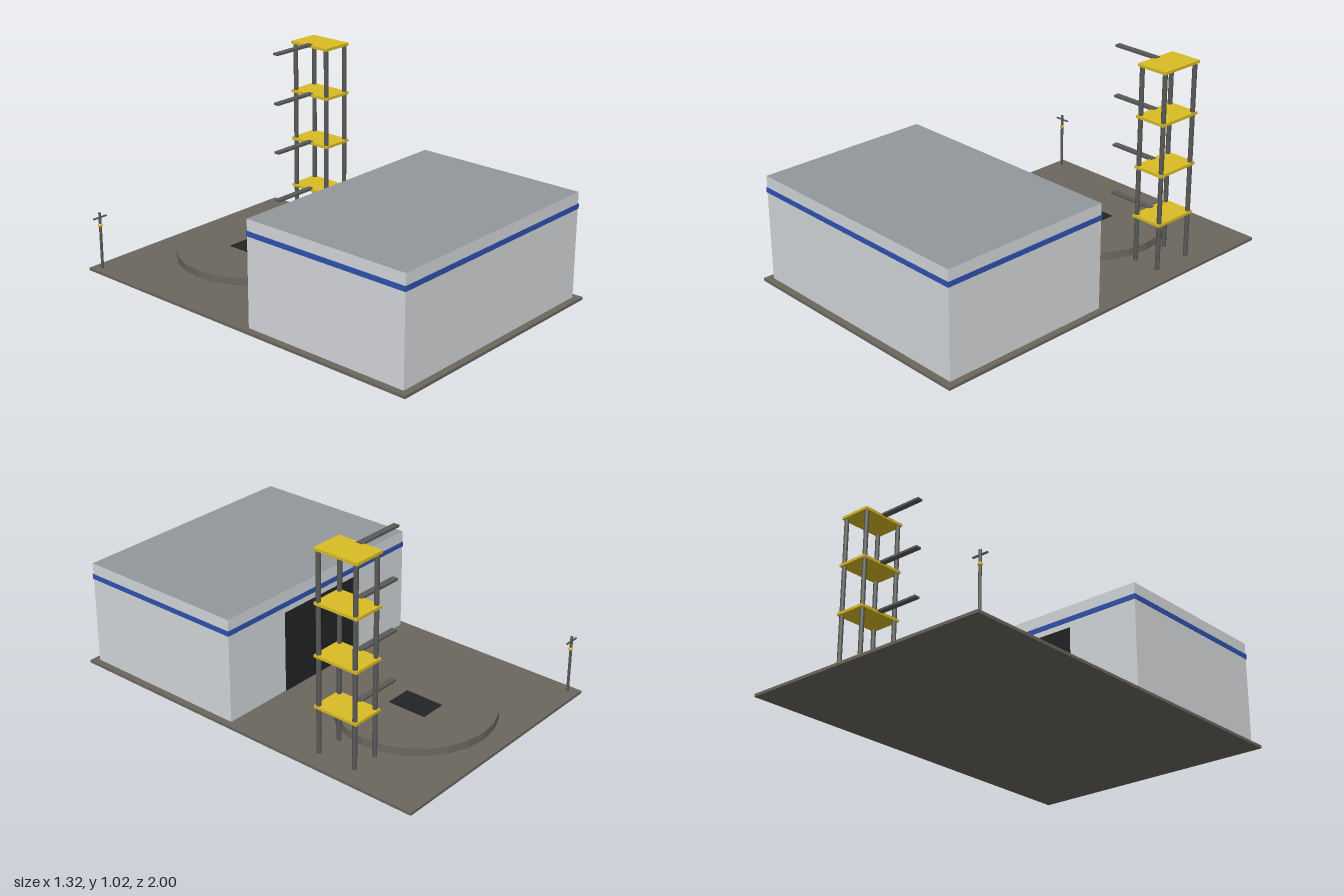
import * as THREE from 'three';

const paint = (name, color) => {
  const m = new THREE.MeshStandardMaterial({ color });
  m.name = name;
  return m;
};

export function createModel() {
  const concrete = paint('concrete', 0x6b675f);
  const wall = paint('wall grey', 0xd5d8db);
  const roof = paint('roof grey', 0x92979d);
  const blue = paint('stripe blue', 0x2f52b0);
  const black = paint('door black', 0x222325);
  const yellow = paint('platform yellow', 0xd9bc24);
  const steel = paint('steel', 0x5a5a58);

  const model = new THREE.Group();
  model.name = 'launchSite';

  const add = (parent, name, geometry, material, x, y, z) => {
    const mesh = new THREE.Mesh(geometry, material);
    mesh.name = name;
    mesh.position.set(x, y, z);
    parent.add(mesh);
    return mesh;
  };
  // Box given by its lower and upper bounds on each axis
  const box = (parent, name, material, [x0, x1], [y0, y1], [z0, z1]) =>
    add(parent, name, new THREE.BoxGeometry(x1 - x0, y1 - y0, z1 - z0), material,
      (x0 + x1) / 2, (y0 + y1) / 2, (z0 + z1) / 2);
  // Upright cylinder given by its lower and upper heights
  const post = (parent, name, material, r, y0, y1, x, z, sides) =>
    add(parent, name, new THREE.CylinderGeometry(r, r, y1 - y0, sides), material, x, (y0 + y1) / 2, z);
  const group = (name) => {
    const g = new THREE.Group();
    g.name = name;
    model.add(g);
    return g;
  };

  const ground = 0.014;
  box(model, 'groundSlab', concrete, [-0.66, 0.66], [0, ground], [-1, 1]);

  // Hangar: box with its own roof colour, a stripe and a door facing the pad
  const hangar = group('hangar');
  box(hangar, 'hangarWalls', [wall, wall, roof, wall, wall, wall],
    [-0.627, 0.627], [ground, 0.542], [0.069, 0.966]);
  box(hangar, 'hangarStripe', blue, [-0.63, 0.63], [0.46, 0.485], [0.066, 0.969]);
  box(hangar, 'hangarDoor', black, [-0.252, 0.252], [ground, 0.43], [0.065, 0.07]);

  // Round pad with a dark hatch
  const pad = group('pad');
  const disc = post(pad, 'padDisc', concrete, 0.388, ground, 0.053, 0, -0.512, 24);
  disc.geometry = disc.geometry.toNonIndexed();
  disc.geometry.computeVertexNormals();
  box(pad, 'padHatch', black, [-0.069, 0.069], [0.052, 0.055], [-0.615, -0.41]);

  // Service tower: four posts, four platforms, four arms
  const tower = group('tower');
  for (const x of [0.42, 0.558])
    for (const z of [-0.405, -0.61]) post(tower, 'towerPost', steel, 0.0115, ground, 1.012, x, z, 8);
  for (let i = 0; i < 4; i++) {
    const y = 0.25 + i * 0.254;
    box(tower, 'towerPlatform', yellow, [0.406, 0.572], [y - 0.007, y + 0.007], [-0.628, -0.389]);
    box(tower, 'towerArm', steel, [0.168, 0.42], [y, y + 0.011], [-0.525, -0.495]);
  }

  // Weather mast with a crossbar and a yellow collar
  const mast = group('mast');
  post(mast, 'mastPole', steel, 0.007, ground, 0.305, -0.62, -0.948, 8);
  box(mast, 'mastCrossbar', steel, [-0.66, -0.58], [0.278, 0.284], [-0.952, -0.944]);
  add(mast, 'mastCollar', new THREE.SphereGeometry(0.011, 10, 8), yellow, -0.62, 0.24, -0.948);

  return model;
}
